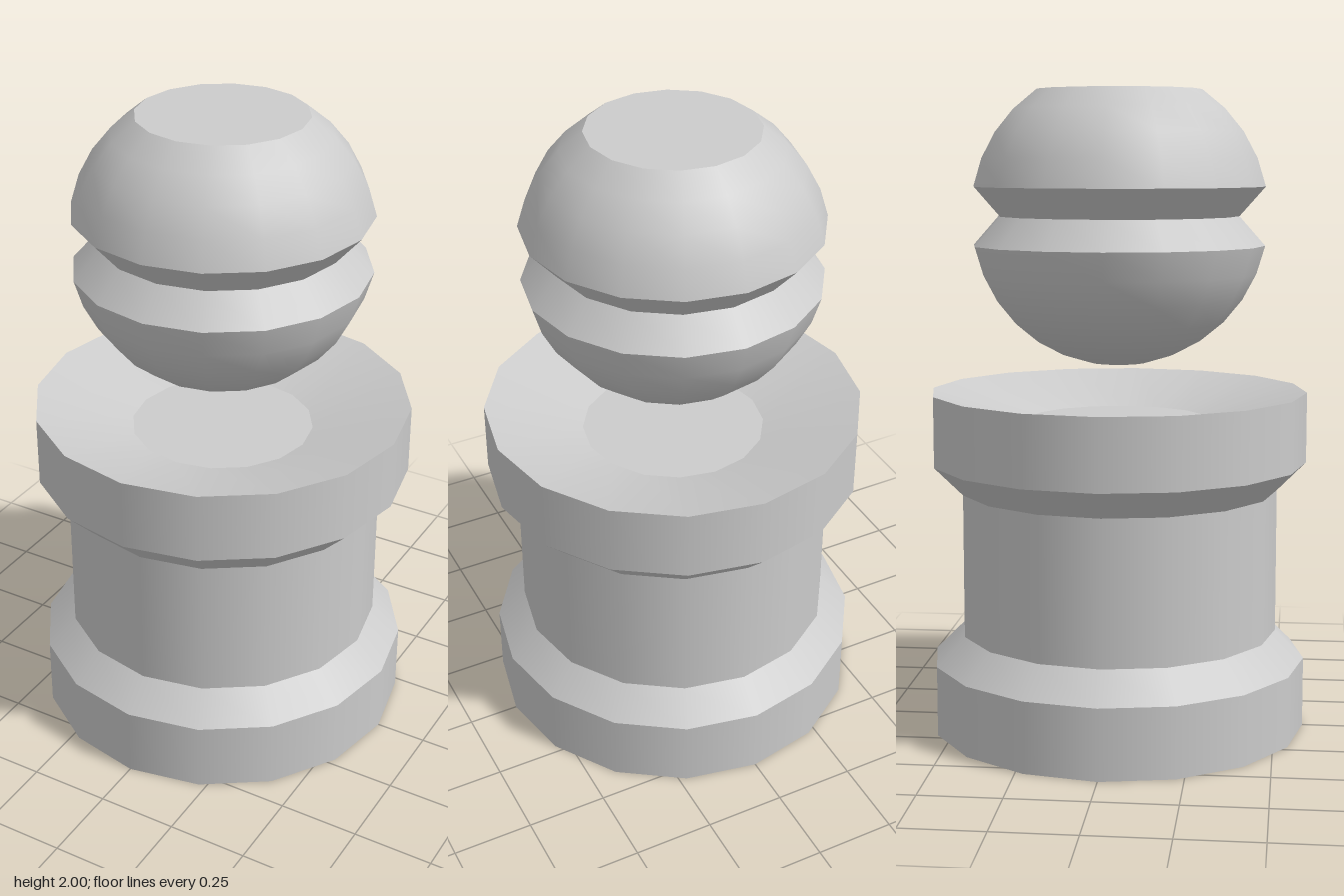
import * as THREE from 'three';
import { mergeGeometries } from 'three/addons/utils/BufferGeometryUtils.js';

const SIDES = 16;
const material = new THREE.MeshStandardMaterial({ color: 0xcccccc });

// Turns each run of [radius, height] points on its own, so edges between runs stay sharp
function turned(name, runs) {
  const parts = runs.map((run) =>
    new THREE.LatheGeometry(run.map(([r, y]) => new THREE.Vector2(r, y)), SIDES));
  const mesh = new THREE.Mesh(mergeGeometries(parts), material);
  mesh.name = name;
  return mesh;
}

// One run per straight stretch of a profile
const straightRuns = (points) => points.slice(1).map((p, i) => [points[i], p]);

// Points on the ball, stepping from one ring to another, counted up from its lowest point
function ballArc(radius, centre, from, to) {
  const points = [];
  for (let i = from; i <= to; i++) {
    const a = (i * Math.PI) / 16;
    points.push([radius * Math.sin(a), centre - radius * Math.cos(a)]);
  }
  points.forEach((p) => { if (p[0] < 1e-6) p[0] = 0; });
  return points;
}

export function createModel() {
  const model = new THREE.Group();
  model.name = 'pedestalWithFloatingBall';

  // Pedestal: foot, waist, collar and a shallow dish on top
  model.add(turned('pedestal', straightRuns([
    [0, 0], [0.59, 0], [0.59, 0.22], [0.5, 0.31], [0.5, 0.76],
    [0.59, 0.85], [0.59, 1.07], [0.285, 0.98], [0, 0.98],
  ])));

  // Ball: round below, V groove at its middle, cut flat on top
  const radius = 0.464, centre = 1.615;
  const lower = ballArc(radius, centre, 0, 7);
  const upper = ballArc(radius, centre, 9, 13);
  const groove = [0.375, centre];
  model.add(turned('ball', [
    lower,
    [lower.at(-1), groove],
    [groove, upper[0]],
    upper,
    [upper.at(-1), [0, upper.at(-1)[1]]],
  ]));

  return model;
}
